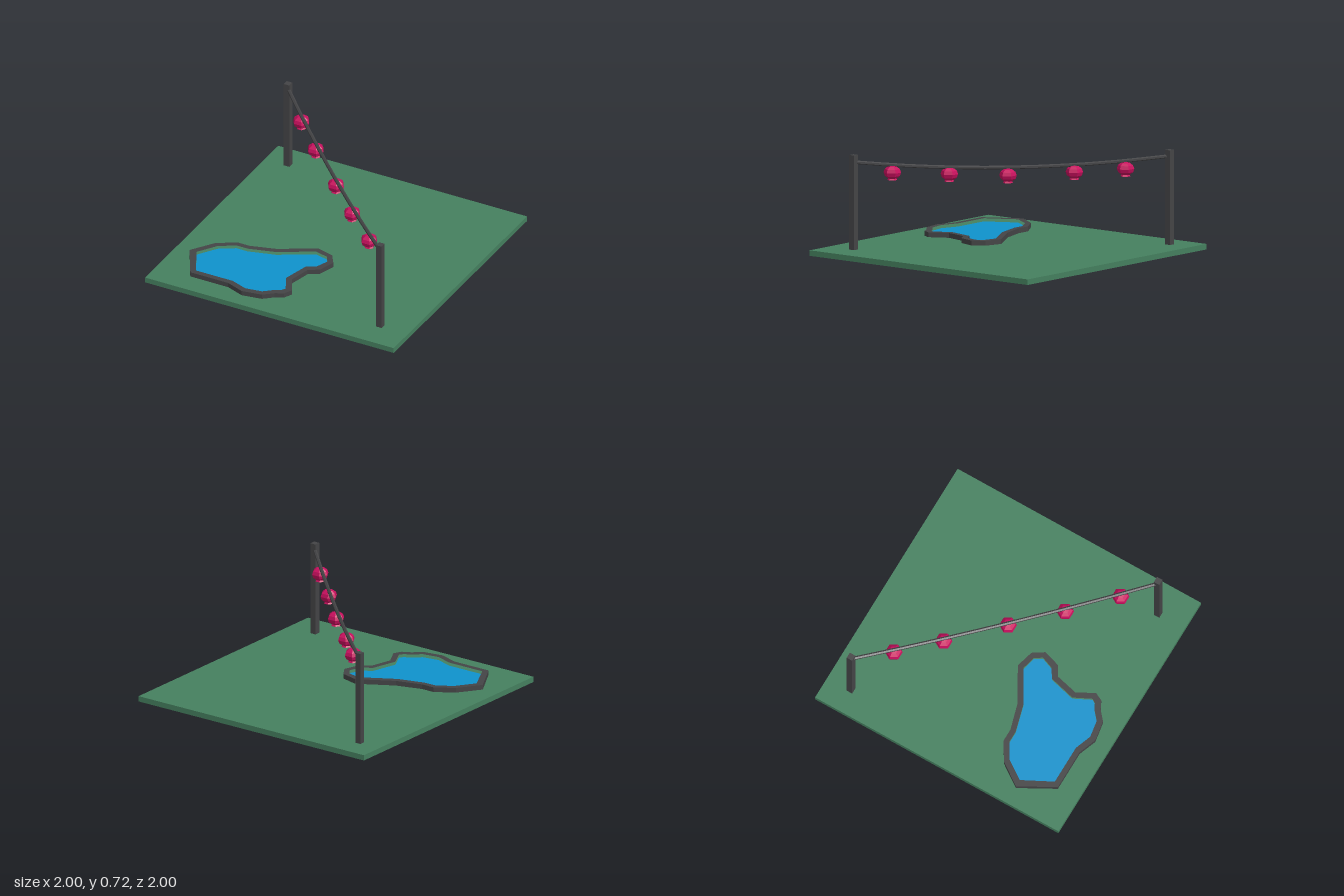
import * as THREE from 'three';

const material = (color) => new THREE.MeshStandardMaterial({ color, flatShading: true });

export function createModel() {
  const model = new THREE.Group();
  model.name = 'gardenWithPond';
  const green = material(0x45805f), dark = material(0x444446);
  const blue = material(0x0f92cc), pink = material(0xc80f5e);

  const add = (name, geometry, mat, x = 0, y = 0, z = 0, parent = model) => {
    const mesh = new THREE.Mesh(geometry, mat);
    mesh.name = name;
    mesh.position.set(x, y, z);
    parent.add(mesh);
    return mesh;
  };

  // Lawn slab
  add('lawn', new THREE.BoxGeometry(2, 0.04, 2), green, 0, 0.02, 0);

  // Pond outlines as [x, z] corners
  const outer = [
    [-0.87, 0.575], [-0.755, 0.41], [-0.62, 0.325], [-0.52, 0.325], [-0.33, 0.27], [-0.075, 0.125],
    [0.055, 0.16], [0.11, 0.245], [0.07, 0.37], [-0.005, 0.415], [-0.045, 0.58], [0.025, 0.71],
    [-0.005, 0.77], [-0.065, 0.8], [-0.135, 0.86], [-0.285, 0.885], [-0.42, 0.835], [-0.725, 0.835],
  ];
  const inner = [
    [-0.815, 0.575], [-0.72, 0.435], [-0.605, 0.365], [-0.515, 0.365], [-0.315, 0.31], [-0.07, 0.17],
    [0.03, 0.195], [0.065, 0.25], [0.03, 0.34], [-0.04, 0.385], [-0.09, 0.58], [-0.025, 0.71],
    [-0.045, 0.74], [-0.085, 0.76], [-0.155, 0.82], [-0.28, 0.84], [-0.405, 0.795], [-0.7, 0.795],
  ];
  const toPoints = (corners) => corners.map(([x, z]) => new THREE.Vector2(x, -z));
  const slab = (shape, depth) =>
    new THREE.ExtrudeGeometry(shape, { depth, bevelEnabled: false }).rotateX(-Math.PI / 2);

  // Stone rim and water
  const rim = new THREE.Shape(toPoints(outer));
  rim.holes.push(new THREE.Path(toPoints(inner)));
  add('pondRim', slab(rim, 0.035), dark, 0, 0.04, 0);
  add('pondWater', slab(new THREE.Shape(toPoints(inner)), 0.012), blue, 0, 0.04, 0);

  // Posts at opposite corners
  const ends = [[-0.82, -0.81], [0.775, 0.78]];
  for (const [x, z] of ends) {
    add('post', new THREE.BoxGeometry(0.045, 0.68, 0.045), dark, x, 0.38, z);
  }

  // Sagging cable between the posts
  const cableY = (x) => 0.612 + 0.06 * (x / 0.8) ** 2;
  const cablePoints = [];
  for (let i = 0; i <= 6; i++) {
    const x = THREE.MathUtils.lerp(ends[0][0], ends[1][0], i / 6);
    const z = THREE.MathUtils.lerp(ends[0][1], ends[1][1], i / 6);
    cablePoints.push(new THREE.Vector3(x, cableY(x), z));
  }
  const cable = new THREE.CatmullRomCurve3(cablePoints);
  add('cable', new THREE.TubeGeometry(cable, 12, 0.013, 6), dark);

  // Paper lanterns: a squashed six-sided body with a small skirt
  const lanterns = [
    [-0.595, 0.59, -0.59], [-0.34, 0.572, -0.33], [0, 0.557, 0], [0.29, 0.572, 0.3], [0.58, 0.59, 0.585],
  ];
  const body = new THREE.SphereGeometry(0.063, 6, 6).scale(1, 0.78, 1);
  const skirt = new THREE.CylinderGeometry(0.022, 0.036, 0.02, 6).rotateY(Math.PI / 6);
  for (const [x, y, z] of lanterns) {
    const lantern = new THREE.Group();
    lantern.name = 'lantern';
    lantern.position.set(x, y, z);
    add('lanternBody', body, pink, 0, 0, 0, lantern);
    add('lanternSkirt', skirt, pink, 0, -0.044, 0, lantern);
    model.add(lantern);
  }
  return model;
}
